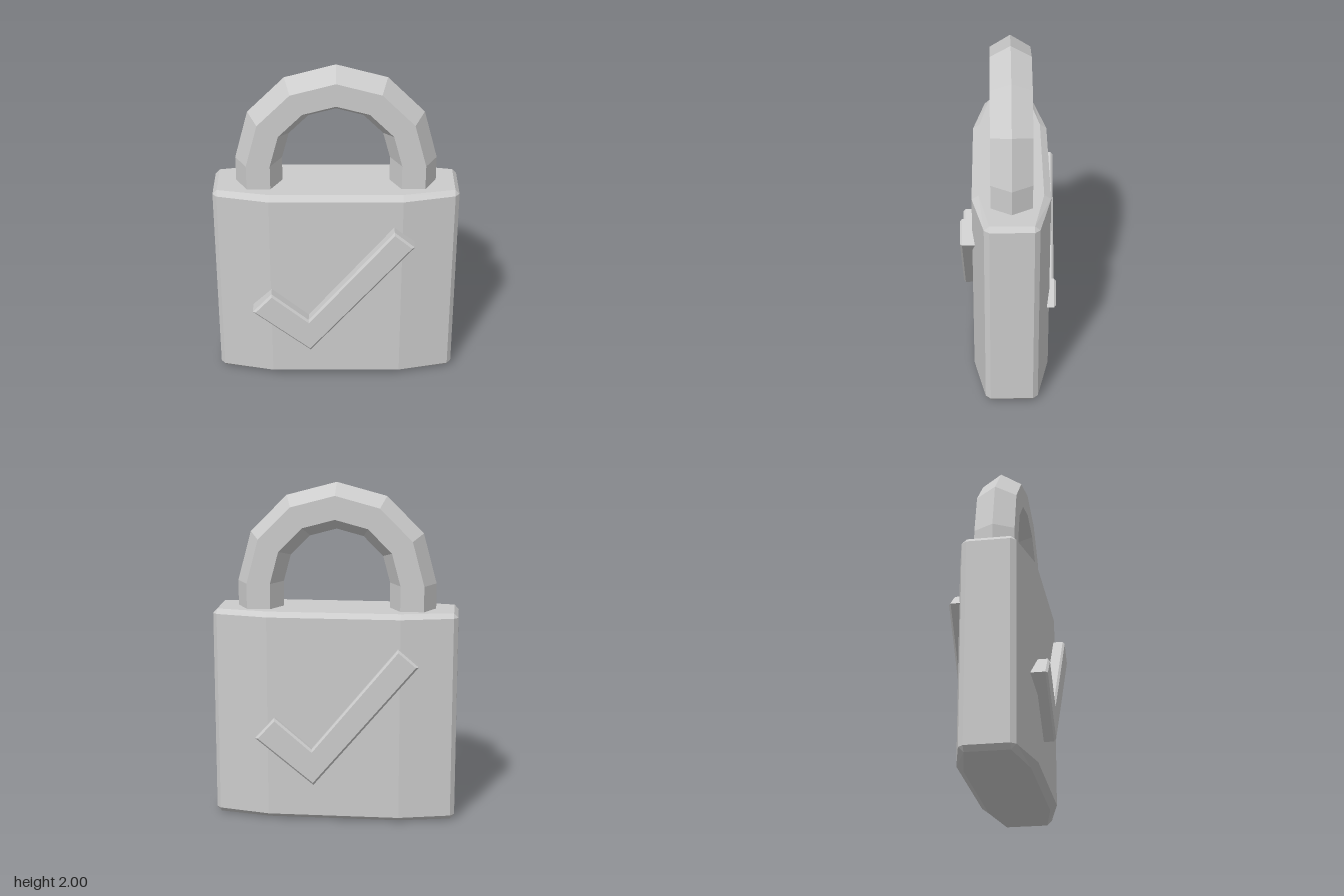
import * as THREE from 'three';

const CENTRE_Z = -0.015;
const material = new THREE.MeshStandardMaterial({ color: 0xcccccc, flatShading: true });

function makeMesh(name, geometry) {
  const mesh = new THREE.Mesh(geometry, material);
  mesh.name = name;
  return mesh;
}

// Skin a series of equal-length cross-sections and cap both ends
function loft(rings) {
  const n = rings[0].length;
  const positions = [];
  const tri = (a, b, c) => positions.push(...a, ...b, ...c);
  for (let i = 0; i < rings.length - 1; i++) {
    for (let j = 0; j < n; j++) {
      const k = (j + 1) % n;
      tri(rings[i][j], rings[i + 1][j], rings[i + 1][k]);
      tri(rings[i][j], rings[i + 1][k], rings[i][k]);
    }
  }
  const last = rings[rings.length - 1];
  for (let j = 1; j < n - 1; j++) {
    tri(rings[0][0], rings[0][j], rings[0][j + 1]);
    tri(last[0], last[j + 1], last[j]);
  }
  const geometry = new THREE.BufferGeometry();
  geometry.setAttribute('position', new THREE.Float32BufferAttribute(positions, 3));
  geometry.computeVertexNormals();
  return geometry;
}

// Body: tapered plan with chamfered corners, top and bottom
function createBody() {
  const outer = [[0.72, 0.125], [0.695, 0.155], [0.39, 0.225]];
  const inner = [[0.695, 0.125], [0.695, 0.125], [0.39, 0.185]];
  const ring = (quarter, y) => {
    const half = [...quarter, ...[...quarter].reverse().map(([x, z]) => [-x, z])];
    const plan = [...half, ...half.map(([x, z]) => [-x, -z])];
    return plan.map(([x, z]) => [x, y, z + CENTRE_Z]);
  };
  return makeMesh('body', loft([
    ring(inner, 0), ring(outer, 0.03), ring(outer, 1.235), ring(inner, 1.262),
  ]));
}

// Shackle: hexagonal bar, straight legs joined by a six-segment arch
function createShackle() {
  const section = [
    [0.588, 0], [0.52, 0.118], [0.382, 0.118], [0.315, 0], [0.382, -0.118], [0.52, -0.118],
  ];
  const archY = 1.412, legBottom = 1.2;
  const ring = (angle, y) => section.map(([r, z]) => [
    r * Math.cos(angle), y + r * Math.sin(angle), z + CENTRE_Z,
  ]);
  const rings = [ring(0, legBottom)];
  for (let i = 0; i <= 6; i++) rings.push(ring((i * Math.PI) / 6, archY));
  rings.push(ring(Math.PI, legBottom));
  return makeMesh('shackle', loft(rings));
}

// Raised check mark with a thin bevel, its base sunk into the body
function createCheckMark(name) {
  const outline = [
    [-0.5, 0.51], [-0.155, 0.23], [0.46, 0.965], [0.34, 1.067], [-0.165, 0.45], [-0.385, 0.637],
  ];
  const shape = new THREE.Shape(outline.map(([x, y]) => new THREE.Vector2(x, y)));
  const bevel = 0.012;
  const geometry = new THREE.ExtrudeGeometry(shape, {
    depth: 0.13 - 2 * bevel, bevelEnabled: true, bevelSegments: 1,
    bevelSize: bevel, bevelThickness: bevel, bevelOffset: -bevel,
  });
  geometry.translate(0, 0, 0.15 + bevel);
  return makeMesh(name, geometry);
}

export function createModel() {
  const model = new THREE.Group();
  model.name = 'padlock';
  const backMark = createCheckMark('backCheckMark');
  backMark.rotation.y = Math.PI;
  backMark.position.x = -0.04;
  model.add(createBody(), createShackle(), createCheckMark('frontCheckMark'), backMark);
  return model;
}
